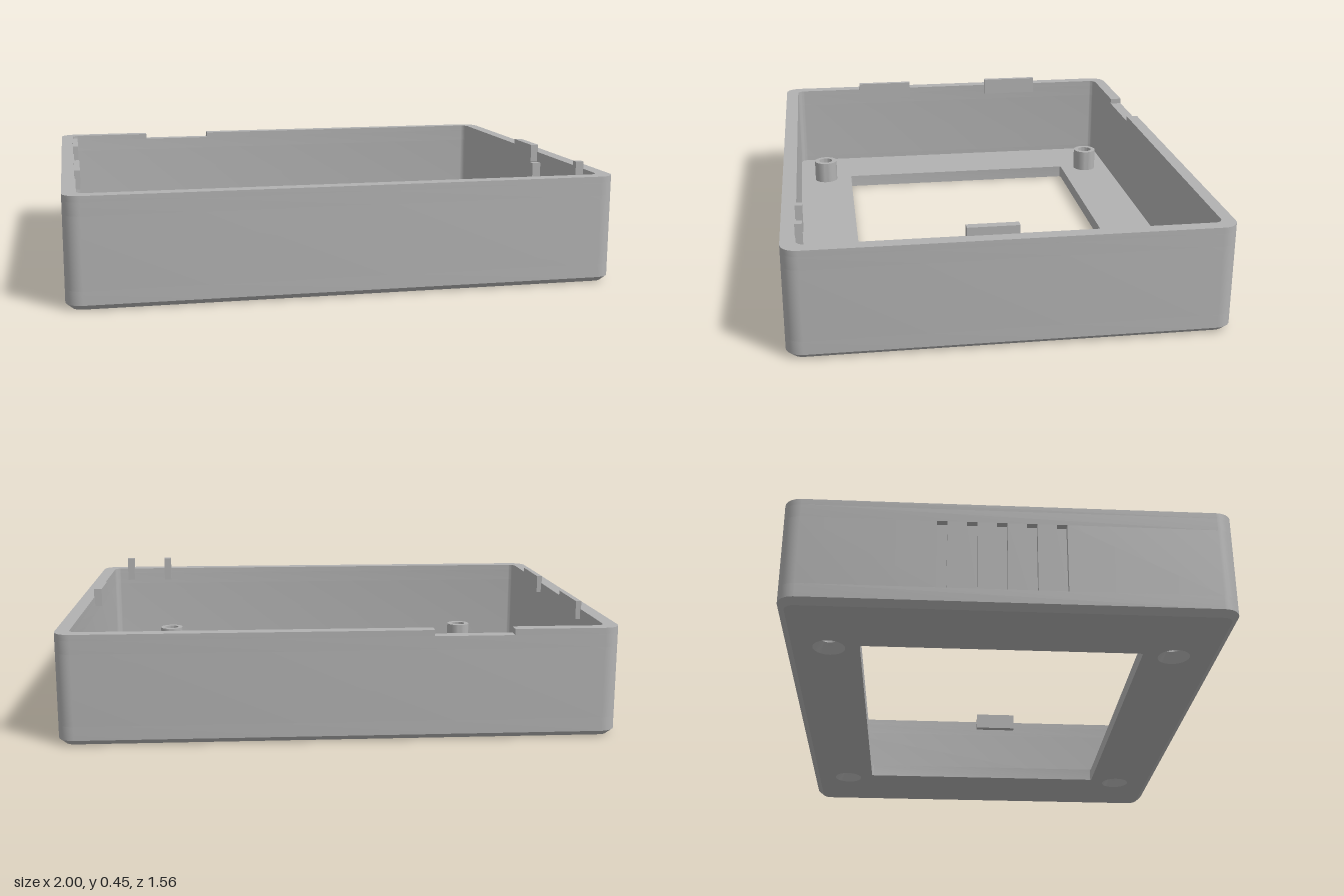
import * as THREE from 'three';
import { toCreasedNormals } from 'three/addons/utils/BufferGeometryUtils.js';

const V = (x, y) => new THREE.Vector2(x, y);

// Rounded rectangle, counter-clockwise, starting at its back right corner (plan y = -z)
function roundedRect(x0, x1, y0, y1, r, n = 8) {
  const centres = [[x0 + r, y1 - r], [x0 + r, y0 + r], [x1 - r, y0 + r], [x1 - r, y1 - r]];
  const pts = [];
  centres.forEach(([cx, cy], k) => {
    for (let i = 0; i <= n; i++) {
      const a = (k + 1 + i / n) * Math.PI / 2;
      pts.push(V(cx + r * Math.cos(a), cy + r * Math.sin(a)));
    }
  });
  return pts;
}

// Extrude a plan outline upwards from y0 to y1
function slab(outline, holes, y0, y1) {
  const shape = new THREE.Shape(outline);
  shape.holes = holes.map(h => new THREE.Path(h));
  const geo = new THREE.ExtrudeGeometry(shape, { depth: y1 - y0, bevelEnabled: false });
  geo.rotateX(-Math.PI / 2).translate(0, y0, 0);
  return toCreasedNormals(geo, 0.5);
}

// Sloping band joining two outlines with equal point counts
function band(low, high, y0, y1) {
  const pos = [];
  low.forEach((a, i) => {
    const j = (i + 1) % low.length;
    const b = low[j], c = high[j], d = high[i];
    pos.push(a.x, y0, -a.y, b.x, y0, -b.y, c.x, y1, -c.y);
    pos.push(a.x, y0, -a.y, c.x, y1, -c.y, d.x, y1, -d.y);
  });
  const geo = new THREE.BufferGeometry();
  geo.setAttribute('position', new THREE.Float32BufferAttribute(pos, 3));
  return toCreasedNormals(geo, 0.5);
}

export function createModel() {
  const model = new THREE.Group();
  model.name = 'enclosureShell';
  const grey = new THREE.MeshStandardMaterial({ color: 0xb2b2b2 });
  grey.name = 'grey plastic';

  const add = (name, geo) => {
    const mesh = new THREE.Mesh(geo, grey);
    mesh.name = name;
    model.add(mesh);
    return mesh;
  };
  const box = (name, x0, x1, y0, y1, z0, z1) =>
    add(name, new THREE.BoxGeometry(x1 - x0, y1 - y0, z1 - z0))
      .position.set((x0 + x1) / 2, (y0 + y1) / 2, (z0 + z1) / 2);

  const H = 0.4, FLOOR = 0.05, BEVEL = 0.024;
  const outer = roundedRect(-1, 1, -0.78, 0.78, 0.06);
  const inner = roundedRect(-0.95, 0.95, -0.727, 0.733, 0.03);
  const base = roundedRect(-1 + BEVEL, 1 - BEVEL, -0.78 + BEVEL, 0.78 - BEVEL, 0.06 - BEVEL);

  // Outer outline with five shallow vent grooves in the right-hand side
  const grooved = outer.slice(0, 9);
  for (let i = 0; i < 5; i++) {
    const y = 0.03 - (i - 2) * 0.103, w = 0.018, d = 0.025;
    grooved.push(V(-1, y + w), V(-1 + d, y + w), V(-1 + d, y - w), V(-1, y - w));
  }
  grooved.push(...outer.slice(9));

  // Walls in layers, the top one open at the back for a notch
  add('lowerWall', slab(outer, [inner], 0.02, 0.07));
  add('ventedWall', slab(grooved, [inner], 0.07, 0.33));
  add('upperWall', slab(outer, [inner], 0.33, H - 0.022));
  const n0 = -0.615, n1 = -0.33;
  const rim = [V(n0, 0.78), ...outer, V(n1, 0.78), V(n1, 0.733), ...[...inner].reverse(), V(n0, 0.733)];
  add('notchedRim', slab(rim, [], H - 0.022, H));
  add('bottomChamfer', band(base, outer, 0, 0.02));

  // Floor with the screen window and screw holes
  const posts = [];
  for (const x of [-0.665, 0.687]) for (const z of [-0.625, 0.612]) posts.push([x, z]);
  const sink = 0.058;
  const holes = posts.map(([x, z]) => roundedRect(x - sink, x + sink, -z - sink, -z + sink, sink, 8));
  const opening = roundedRect(-0.685, 0.652, -0.497, 0.515, 0.008, 3);
  add('floor', slab(base, [opening, ...holes], 0, FLOOR));

  // Hollow screw posts, countersunk underneath
  const profile = [[sink, 0], [sink, FLOOR], [0.05, FLOOR], [0.05, 0.14], [0.03, 0.14], [0.03, 0.035], [sink, 0]];
  const postGeo = toCreasedNormals(new THREE.LatheGeometry(profile.map(p => V(...p)), 32), 0.5);
  for (const [x, z] of posts) add('screwPost', postGeo).position.set(x, 0, z);

  // Snap tabs along the sides
  box('rightSnapTab', -0.953, -0.932, 0.36, 0.43, -0.42, -0.177);
  box('rightSnapTab', -0.953, -0.932, 0.36, 0.43, 0.19, 0.432);
  box('leftSnapTab', 0.922, 0.953, 0.36, 0.43, -0.022, 0.16);

  // Locating pins inside the front wall
  for (const x of [0.705, 0.875]) box('locatingPin', x - 0.015, x + 0.015, 0.35, 0.45, 0.703, 0.729);

  return model;
}
